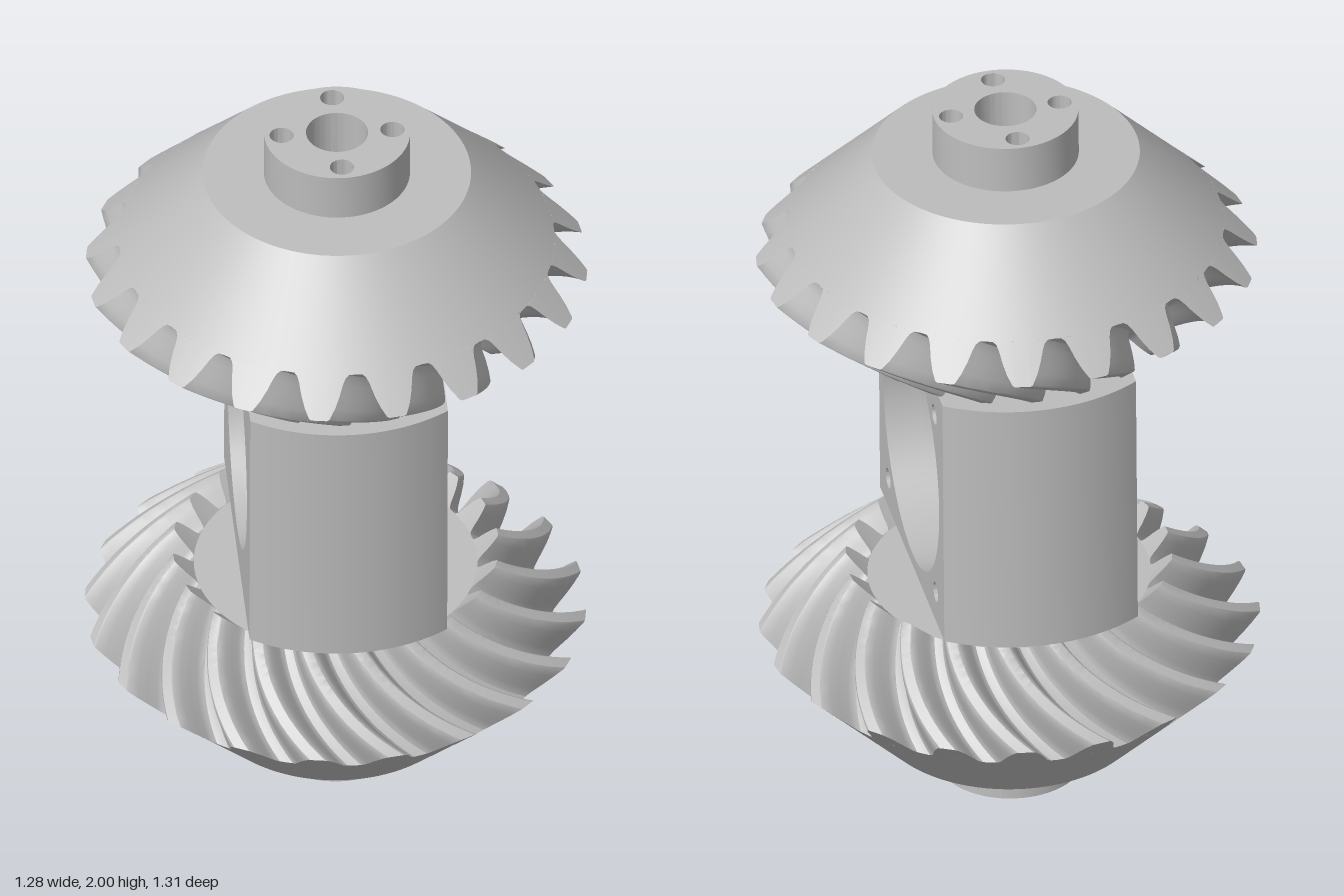
import * as THREE from 'three';
import { toCreasedNormals } from 'three/addons/utils/BufferGeometryUtils.js';

const steel = new THREE.MeshStandardMaterial({ color: 0xbdbdbd });
steel.name = 'steel grey';

function part(name, geometry, crease = 0.5) {
  const mesh = new THREE.Mesh(toCreasedNormals(geometry, crease), steel);
  mesh.name = name;
  return mesh;
}

function circleHole(shape, x, y, r) {
  shape.holes.push(new THREE.Path().absarc(x, y, r, 0, Math.PI * 2, true));
}

function lathe(points) {
  return new THREE.LatheGeometry(points.map(([r, y]) => new THREE.Vector2(r, y)), 120);
}

// Spiral bevel teeth: one profile repeated round the cone, shrunk toward the apex at the origin
function teethGeometry() {
  const TEETH = 20, STEPS = 14, INNER = 0.651, TWIST = 0.43;
  const pitch = (Math.PI * 2) / TEETH;
  // position within the pitch, height from root to tip
  const profile = [
    [-0.5, 0], [-0.4, 0.01], [-0.35, 0.08], [-0.31, 0.22], [-0.26, 0.48], [-0.2, 0.74],
    [-0.13, 0.97], [-0.1, 1], [0.1, 1], [0.13, 0.97], [0.2, 0.74], [0.26, 0.48],
    [0.31, 0.22], [0.35, 0.08], [0.4, 0.01],
  ];
  const ring = [];
  for (let t = 0; t < TEETH; t++) {
    for (const [u, h] of profile) ring.push([(t + 0.5 + u) * pitch, h]);
  }
  const n = ring.length, position = [], index = [];
  const addRing = (k, flat) => {
    const f = k / STEPS, s = 1 - (1 - INNER) * f;
    const twist = TWIST * (1.25 * f - 0.25 * f * f);
    for (const [angle, height] of ring) {
      const h = flat ? 0 : height;
      const r = (0.56 + 0.085 * h) * s, y = (0.645 - 0.085 * h) * s;
      position.push(r * Math.sin(angle + twist), y, r * Math.cos(angle + twist));
    }
  };
  const join = (a, b) => {
    for (let i = 0; i < n; i++) {
      const j = (i + 1) % n;
      index.push(a * n + i, b * n + i, a * n + j, a * n + j, b * n + i, b * n + j);
    }
  };
  // outer end caps, flanks, inner end caps
  addRing(0, true);
  for (let k = 0; k <= STEPS; k++) addRing(k, false);
  addRing(STEPS, true);
  for (let k = 0; k < STEPS + 2; k++) join(k, k + 1);
  const geometry = new THREE.BufferGeometry();
  geometry.setAttribute('position', new THREE.Float32BufferAttribute(position, 3));
  geometry.setIndex(index);
  return geometry;
}

// Gear with drilled hub, its axis along +y
function makeGear(name) {
  const gear = new THREE.Group();
  gear.name = name;
  gear.add(part('gearBack', lathe([[0.56, 0.645], [0.345, 0.865], [0, 0.865]])));
  gear.add(part('gearNeck', lathe([[0.2, 0.35], [0.2, 0.42], [0.3646, 0.42]])));
  gear.add(part('gearTeeth', teethGeometry(), 0.6));

  const hub = new THREE.Shape().absarc(0, 0, 0.188, 0, Math.PI * 2, false);
  circleHole(hub, 0, 0, 0.08);
  for (let i = 0; i < 4; i++) {
    const a = (i * Math.PI) / 2;
    circleHole(hub, 0.143 * Math.cos(a), 0.143 * Math.sin(a), 0.031);
  }
  const hubGeometry = new THREE.ExtrudeGeometry(hub, { depth: 0.13, bevelEnabled: false, curveSegments: 40 });
  hubGeometry.rotateX(-Math.PI / 2).translate(0, 0.865, 0);
  gear.add(part('hub', hubGeometry));
  return gear;
}

// Layer of the middle block between two x positions, bored along x
function blockLayer(name, x0, x1, bore, screws) {
  const HZ = 0.375, HY = 0.36;
  const shape = new THREE.Shape();
  shape.moveTo(-HZ, -HY).lineTo(HZ, -HY).lineTo(HZ, HY).lineTo(-HZ, HY).closePath();
  circleHole(shape, 0, 0, bore);
  if (screws) {
    for (const sx of [-1, 1]) for (const sy of [-1, 1]) circleHole(shape, sx * 0.276, sy * 0.272, 0.027);
  }
  const geometry = new THREE.ExtrudeGeometry(shape, { depth: x1 - x0, bevelEnabled: false, curveSegments: 48 });
  geometry.translate(0, 0, x0).rotateY(Math.PI / 2);
  return part(name, geometry);
}

function makeBlock() {
  const block = new THREE.Group();
  block.name = 'carrierBlock';
  block.add(blockLayer('boreLip', -0.255, -0.225, 0.285, false));
  block.add(blockLayer('blockCore', -0.225, 0.155, 0.325, false));
  block.add(blockLayer('screwFace', 0.155, 0.255, 0.325, true));
  // rounded front and back ends
  const a = Math.atan2(0.375, 0.255);
  const end = new THREE.Shape().absarc(0, 0, Math.hypot(0.375, 0.255), a, Math.PI - a, false);
  end.closePath();
  for (const turn of [0, Math.PI]) {
    const geometry = new THREE.ExtrudeGeometry(end, { depth: 0.72, bevelEnabled: false, curveSegments: 24 });
    geometry.translate(0, 0, -0.36).rotateX(-Math.PI / 2).rotateY(turn);
    block.add(part('roundedEnd', geometry));
  }
  return block;
}

export function createModel() {
  const model = new THREE.Group();
  model.name = 'bevelGearAssembly';
  const assembly = new THREE.Group();
  assembly.name = 'tiltedAssembly';
  const lower = makeGear('lowerGear');
  lower.rotation.x = Math.PI;
  assembly.add(makeGear('upperGear'), lower, makeBlock());
  // the whole shaft leans slightly forward
  assembly.rotation.x = 0.031;
  assembly.position.y = 1;
  model.add(assembly);
  return model;
}
